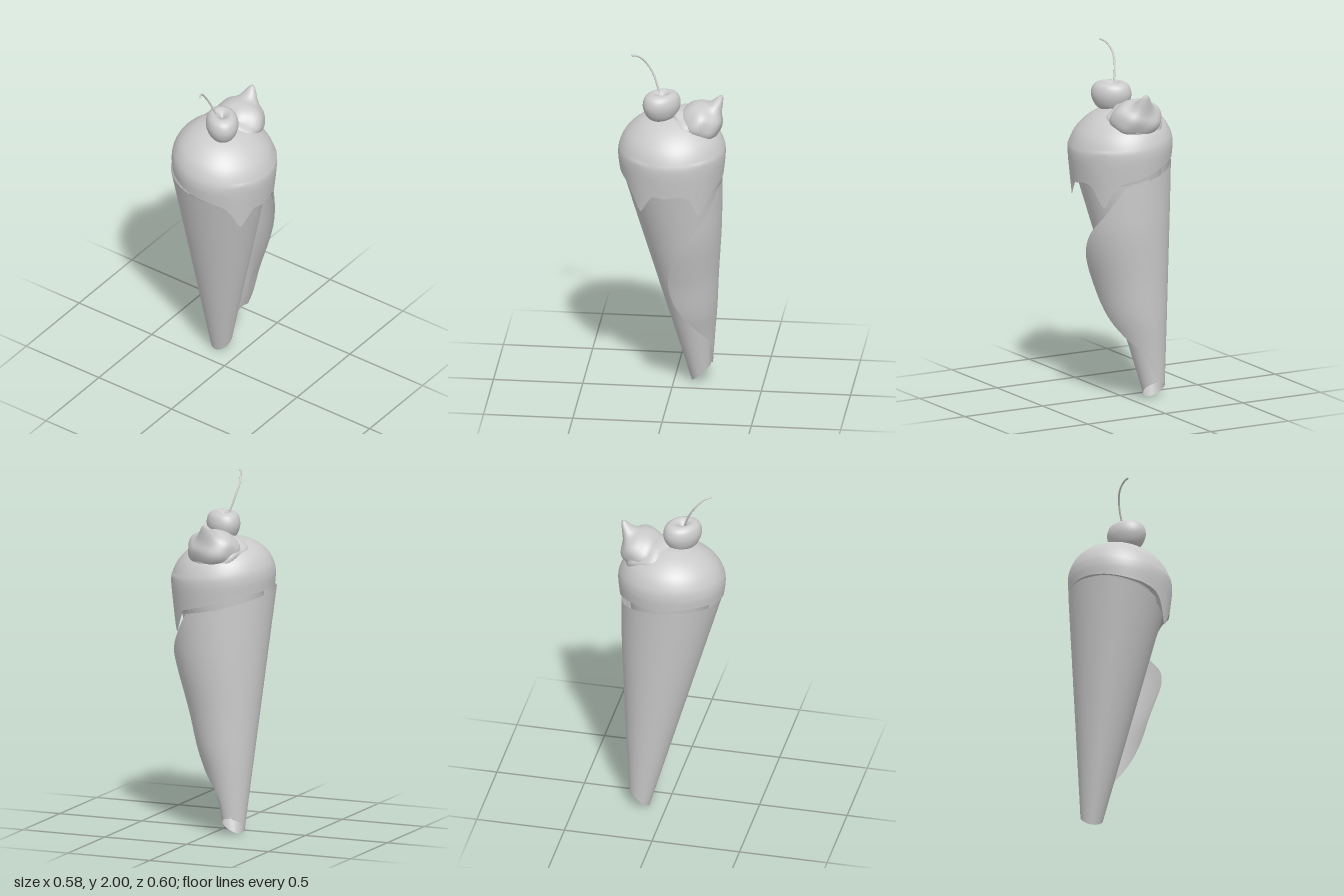
import * as THREE from 'three';
import { ParametricGeometry } from 'three/addons/geometries/ParametricGeometry.js';

const RAD = Math.PI / 180;
const grey = new THREE.MeshStandardMaterial({ color: 0xcccccc });
const greyDouble = new THREE.MeshStandardMaterial({ color: 0xcccccc, side: THREE.DoubleSide });

function mesh(name, geometry, material = grey) {
  const m = new THREE.Mesh(geometry, material);
  m.name = name;
  return m;
}

// smooth curve through [position, value] pairs
function curve(pairs) {
  const f = new THREE.CubicInterpolant(pairs.map(p => p[0]), pairs.map(p => p[1]), 1, new Float32Array(1));
  return t => f.evaluate(t)[0];
}

// Rolled cone: one sheet wound a little over a full turn; angles run +x, +z, -x, -z
function rolledCone() {
  const endAngle = curve([[0, 285], [0.08, 310], [0.2, 348], [0.35, 372], [0.5, 375], [0.74, 349], [0.87, 322], [1, 297]]);
  const flare = curve([[0, 0.02], [0.15, 0.045], [0.28, 0.07], [0.47, 0.08], [0.75, 0.108], [0.9, 0.1], [1, 0.09]]);
  const start = -95;
  return new ParametricGeometry((u, v, p) => {
    const t = 1 - v;
    const deg = start + (endAngle(t) - start) * u;
    const c = Math.cos(deg * RAD), s = Math.sin(deg * RAD);
    // the outer flap is cut higher at the bottom
    const bottom = 0.05 * (1 - s) + 0.1 * THREE.MathUtils.smoothstep(deg, 245, 320);
    const top = 1.31 - 0.06 * c + 0.03 * s;
    const y = bottom + (top - bottom) * t;
    const outer = Math.max(0, deg - 180) / 180;
    const inner = Math.max(0, 20 - deg) / 115;
    const r = 0.055 + 0.163 * y + flare(t) * outer * outer - 0.008 * inner;
    p.set(-0.133 + 0.088 * y + r * c, y, -0.152 + 0.122 * y + r * s);
  }, 64, 36);
}

// Height of the cream's lower edge around the dome, with two drips
const lipHeight = curve([
  [-60, 1.27], [-48, 1.2], [-40, 1.13], [-33, 1.17], [-25, 1.24], [5, 1.25], [18, 1.25], [27, 1.19],
  [34, 1.15], [42, 1.22], [52, 1.29], [70, 1.33], [90, 1.35], [120, 1.38], [150, 1.395], [180, 1.385],
  [230, 1.37], [270, 1.31], [300, 1.27],
]);
const lipRadius = y => 0.286 - 0.08 * Math.max(0, 1.4 - y);
const DEPTH = 1.035; // the dome is slightly deeper than wide

function creamDome() {
  return new ParametricGeometry((u, v, p) => {
    const deg = -60 + 360 * u;
    const c = Math.cos(deg * RAD), s = Math.sin(deg * RAD);
    const yE = lipHeight(deg);
    const profile = new THREE.SplineCurve(
      [[0.0005, 1.663], [0.1, 1.648], [0.18, 1.613], [0.245, 1.555], [0.28, 1.49], [0.29, 1.43]]
        .map(([r, y]) => new THREE.Vector2(r, y - 0.1 * r * c))
        .concat(new THREE.Vector2(lipRadius(yE), yE)));
    const q = profile.getPoint(v);
    p.set(q.x * c, q.y, q.x * s * DEPTH);
  }, 96, 24);
}

// Underside of the lip and the cream sitting inside the cone
function creamBand(upper) {
  return new ParametricGeometry((u, v, p) => {
    const deg = -60 + 360 * u;
    const yE = lipHeight(deg);
    const inner = upper ? 0.235 : 0.235 - 0.07 * v;
    const yIn = Math.max(yE + 0.015, 1.27);
    const r = upper ? THREE.MathUtils.lerp(lipRadius(yE), inner, v) : inner;
    const y = upper ? THREE.MathUtils.lerp(yE, yIn, v) : THREE.MathUtils.lerp(yIn, 1.08, v);
    const shift = upper ? 0 : -0.03 * v;
    p.set(shift + r * Math.cos(deg * RAD), y, shift + r * Math.sin(deg * RAD) * DEPTH);
  }, 96, 2);
}

// Lumpy ball of whipped cream; peak pulls a point up and backwards
function whippedBall(size, lumps, peak) {
  const g = new THREE.SphereGeometry(1, 48, 32);
  const pos = g.attributes.position;
  const d = new THREE.Vector3(), peakDir = new THREE.Vector3(0, 0.72, -0.7).normalize();
  for (let i = 0; i < pos.count; i++) {
    d.fromBufferAttribute(pos, i);
    const pull = peak * Math.pow(Math.max(0, d.dot(peakDir)), 22);
    const a = Math.atan2(d.z, d.x);
    const flat = 1 - d.y * d.y;
    const k = 1 + lumps * flat * Math.sin(5 * a + 3 * d.y) + 0.4 * lumps * flat * Math.sin(3 * a - 6 * d.y);
    pos.setXYZ(i, d.x * size[0] * k, d.y * size[1] * k + 0.08 * pull, d.z * size[2] * k - 0.035 * pull);
  }
  g.computeVertexNormals();
  return g;
}

function cherry() {
  const group = new THREE.Group();
  group.name = 'cherry';
  const outline = new THREE.SplineCurve(
    [[0.0005, -0.076], [0.05, -0.079], [0.085, -0.05], [0.104, 0.005], [0.093, 0.055], [0.06, 0.077], [0.03, 0.068], [0.0005, 0.045]]
      .map(([x, y]) => new THREE.Vector2(x, y)));
  // oval fruit, longer along the front-left diagonal
  const fruit = mesh('cherryFruit', new THREE.LatheGeometry(outline.getPoints(28), 36));
  fruit.position.set(0.025, 1.712, 0.055);
  fruit.rotation.y = -Math.PI / 4;
  fruit.scale.set(1.1, 1, 0.87);

  const path = new THREE.CatmullRomCurve3([
    [0.008, 1.755, 0.064], [-0.008, 1.8, 0.078], [-0.028, 1.88, 0.108], [-0.034, 1.945, 0.15], [-0.02, 1.983, 0.19], [-0.004, 1.995, 0.222],
  ].map(a => new THREE.Vector3(...a)));
  const stem = mesh('cherryStem', new THREE.TubeGeometry(path, 28, 0.0055, 8));
  const base = mesh('stemBase', new THREE.SphereGeometry(0.013, 12, 8));
  base.position.set(0.006, 1.763, 0.066);
  const tip = mesh('stemTip', new THREE.SphereGeometry(0.0055, 8, 6));
  tip.position.copy(path.getPoint(1));
  group.add(fruit, stem, base, tip);
  return group;
}

export function createModel() {
  const model = new THREE.Group();
  model.name = 'iceCreamCone';
  model.add(
    mesh('rolledCone', rolledCone(), greyDouble),
    mesh('creamDome', creamDome(), greyDouble),
    mesh('creamUnderside', creamBand(true), greyDouble),
    mesh('creamCore', creamBand(false), greyDouble),
  );

  // Two tiers of whipped cream behind the cherry
  const lower = mesh('whippedCreamLower', whippedBall([0.155, 0.08, 0.145], 0.06, 0));
  lower.position.set(-0.025, 1.592, -0.12);
  lower.rotation.x = -0.42;
  const upper = mesh('whippedCreamPeak', whippedBall([0.15, 0.112, 0.122], 0.035, 1));
  upper.position.set(-0.01, 1.615, -0.162);
  model.add(lower, upper, cherry());
  return model;
}
